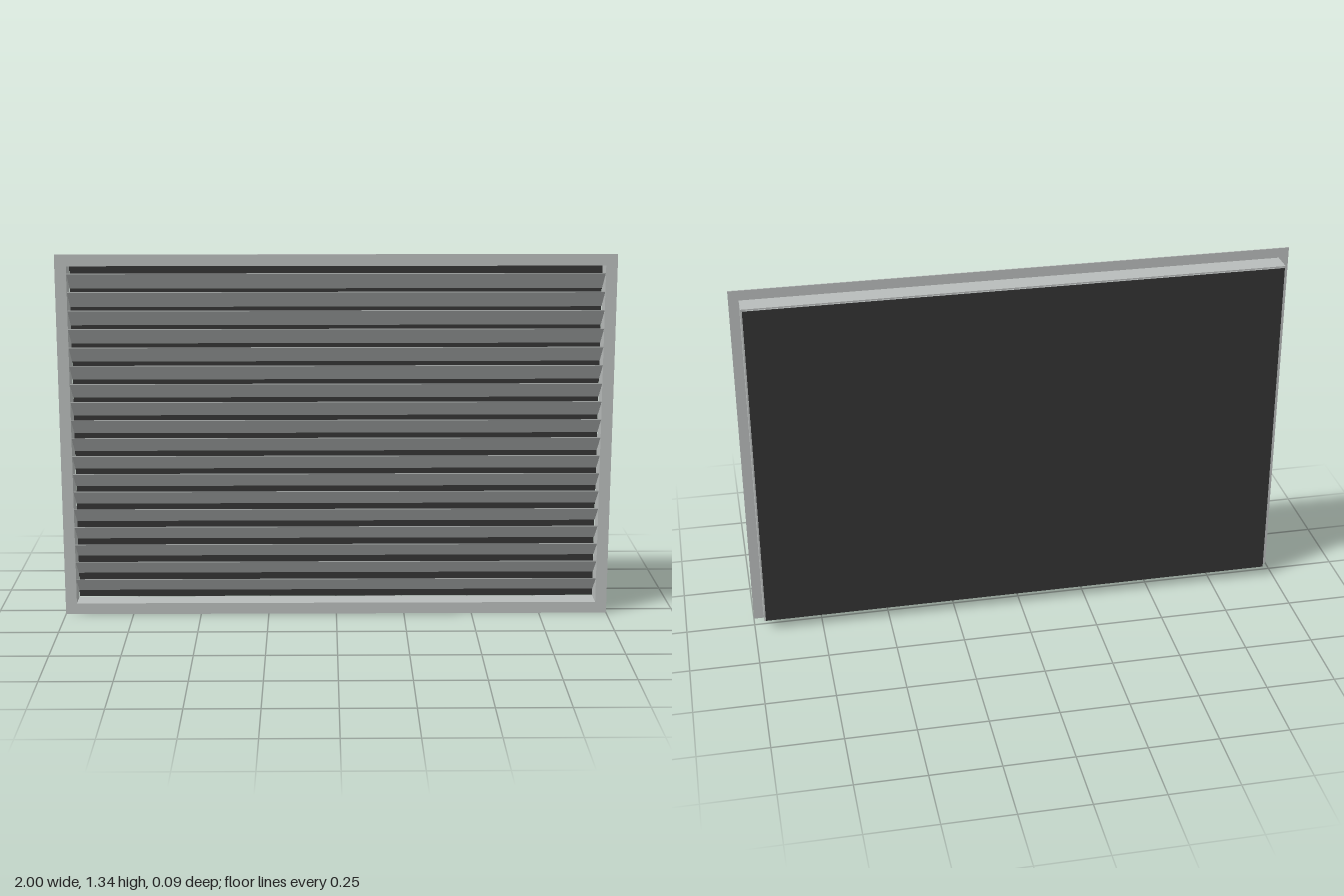
import * as THREE from 'three';

const WIDTH = 2, HEIGHT = 1.335, CY = HEIGHT / 2;
const OPEN_W = 1.918, OPEN_H = 1.252;   // clear opening
const WALL = 0.005;                     // sheet thickness of the sleeve
const BLADES = 18, PITCH = 0.0667;

// Rectangular ring extruded from z0 to z1
function ring(w, h, holeW, holeH, z0, z1) {
  const rect = (target, rw, rh) => {
    target.moveTo(-rw / 2, -rh / 2);
    target.lineTo(rw / 2, -rh / 2);
    target.lineTo(rw / 2, rh / 2);
    target.lineTo(-rw / 2, rh / 2);
    target.closePath();
    return target;
  };
  const shape = rect(new THREE.Shape(), w, h);
  shape.holes.push(rect(new THREE.Path(), holeW, holeH));
  const geo = new THREE.ExtrudeGeometry(shape, { depth: z1 - z0, bevelEnabled: false });
  return geo.translate(0, CY, z0);
}

// Slanted slat: high at the front, low at the back
function bladeGeometry() {
  const zF = 0.04, zB = -0.037, drop = 0.0625, t = 0.003;
  const s = new THREE.Shape();          // shape x runs along z
  s.moveTo(zB, -drop / 2 - t / 2);
  s.lineTo(zF, drop / 2 - t / 2);
  s.lineTo(zF, drop / 2 + t / 2);
  s.lineTo(zB, -drop / 2 + t / 2);
  s.closePath();
  const geo = new THREE.ExtrudeGeometry(s, { depth: OPEN_W, bevelEnabled: false });
  return geo.translate(0, 0, -OPEN_W / 2).rotateY(-Math.PI / 2);
}

export function createModel() {
  const model = new THREE.Group();
  model.name = 'louverVent';

  const metal = new THREE.MeshStandardMaterial({ color: 0xb8bcbb });
  metal.name = 'greyMetal';
  const dark = new THREE.MeshStandardMaterial({ color: 0x333333 });
  dark.name = 'darkScreen';

  const add = (name, geo, mat, parent = model) => {
    const mesh = new THREE.Mesh(geo, mat);
    mesh.name = name;
    parent.add(mesh);
    return mesh;
  };

  // Front flange and the sleeve behind it
  add('flange', ring(WIDTH, HEIGHT, OPEN_W, OPEN_H, 0.041, 0.045), metal);
  add('sleeve', ring(OPEN_W + 2 * WALL, OPEN_H + 2 * WALL, OPEN_W, OPEN_H, -0.037, 0.041), metal);

  // Louver blades
  const blades = new THREE.Group();
  blades.name = 'blades';
  model.add(blades);
  const blade = bladeGeometry();
  blade.computeBoundingBox();
  for (let i = 0; i < BLADES; i++) {
    add('blade', blade, metal, blades).position.y = CY + (i - (BLADES - 1) / 2) * PITCH;
  }

  // Dark screen standing just clear of the sleeve
  const screen = add('backScreen', new THREE.BoxGeometry(OPEN_W, OPEN_H, 0.003), dark);
  screen.position.set(0, CY, -0.0435);

  return model;
}
